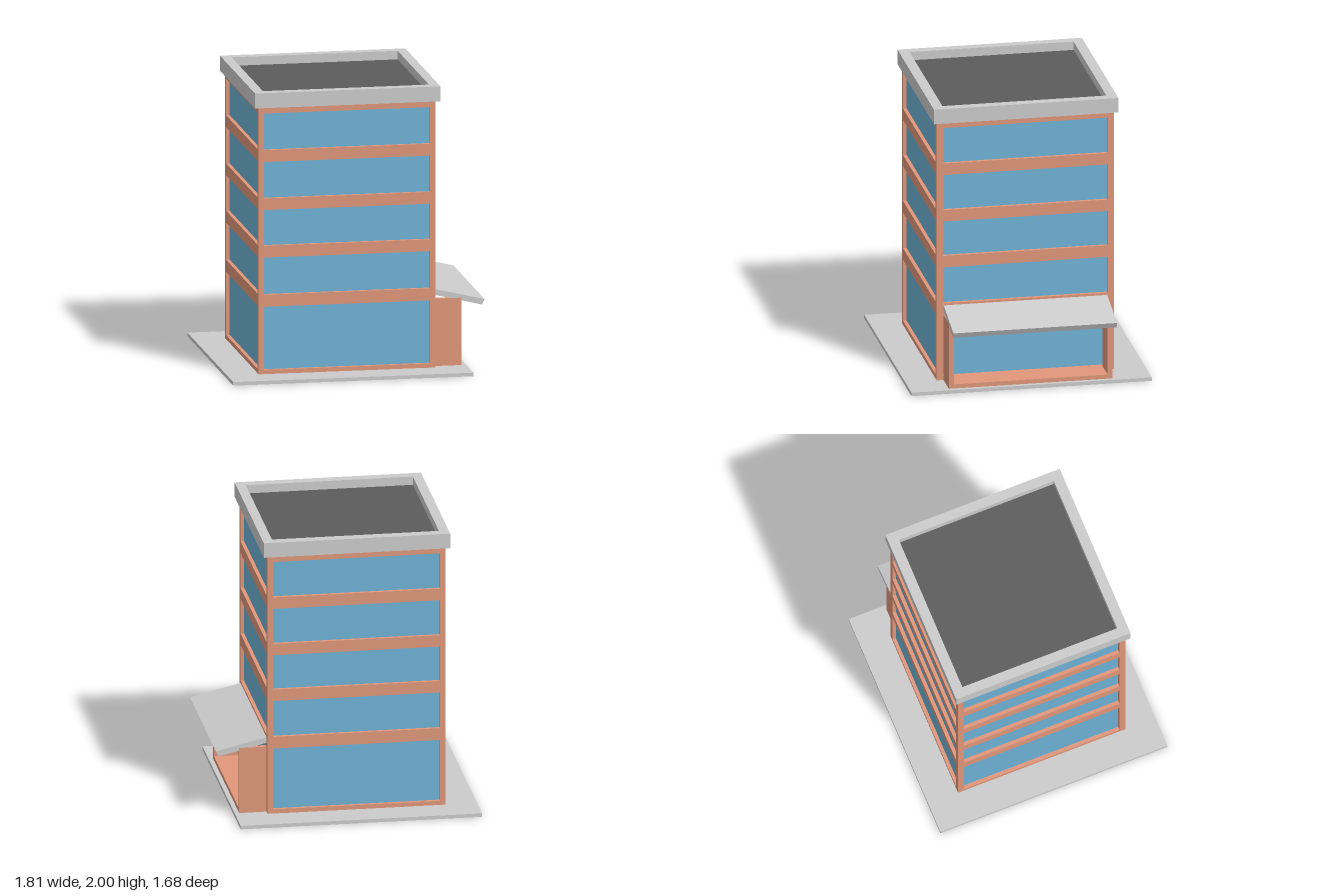
import * as THREE from 'three';

const brick = new THREE.MeshStandardMaterial({ color: 0xe0977a });
const glass = new THREE.MeshStandardMaterial({ color: 0x6eb2d6 });
const dark = new THREE.MeshStandardMaterial({ color: 0x5c5c5c });
const grey = new THREE.MeshStandardMaterial({ color: 0xcccccc });

// Tower outline and the thickness of its facade frames
const X0 = -0.685, X1 = 0.55, Z = 0.62, FRAME = 0.025;
const TOP = 1.895;
const CX = (X0 + X1) / 2;
// Bottom and top of each row of windows
const rows = [[0.055, 0.497], [0.582, 0.842], [0.925, 1.175], [1.257, 1.512], [1.595, 1.852]];

function add(group, name, geometry, material) {
  const mesh = new THREE.Mesh(geometry, material);
  mesh.name = name;
  group.add(mesh);
  return mesh;
}

// Box given by its extents
function block(group, name, material, x0, x1, y0, y1, z0, z1) {
  const mesh = add(group, name, new THREE.BoxGeometry(x1 - x0, y1 - y0, z1 - z0), material);
  mesh.position.set((x0 + x1) / 2, (y0 + y1) / 2, (z0 + z1) / 2);
  return mesh;
}

function rect(x0, x1, y0, y1) {
  return new THREE.Shape([[x0, y0], [x1, y0], [x1, y1], [x0, y1]].map(p => new THREE.Vector2(...p)));
}

const extrude = (shape, depth) => new THREE.ExtrudeGeometry(shape, { depth, bevelEnabled: false });

// Upright facade with a hole for each window
function facade(halfWidth, halfWindow) {
  const shape = rect(-halfWidth, halfWidth, 0, TOP);
  for (const [y0, y1] of rows) shape.holes.push(rect(-halfWindow, halfWindow, y0, y1));
  return extrude(shape, FRAME);
}

// Flat rectangular ring lying in the xz plane
function ring(outer, inner, height) {
  const shape = rect(...outer);
  shape.holes.push(rect(...inner));
  return extrude(shape, height).rotateX(-Math.PI / 2);
}

export function createModel() {
  const model = new THREE.Group();
  model.name = 'officeBuilding';

  // Pavement around the tower
  add(model, 'pavement', ring([-0.905, 0.772, -0.84, 0.84], [X0, X1, -Z, Z], 0.025), grey);

  // Glazed core on a brick floor
  block(model, 'groundFloor', brick, X0 + FRAME, X1 - FRAME, 0, 0.045, -Z + FRAME, Z - FRAME);
  block(model, 'glazing', glass, X0 + FRAME, X1 - FRAME, 0.045, TOP, -Z + FRAME, Z - FRAME);

  // Front and back frames cover the corners, side frames fit between them
  const wide = facade((X1 - X0) / 2, 0.58);
  const narrow = facade(Z - FRAME, 0.575);
  add(model, 'frontFacade', wide, brick).position.set(CX, 0, Z - FRAME);
  const back = add(model, 'backFacade', wide, brick);
  back.position.set(CX, 0, -Z + FRAME);
  back.rotation.y = Math.PI;
  const left = add(model, 'leftFacade', narrow, brick);
  left.position.set(X1 - FRAME, 0, 0);
  left.rotation.y = Math.PI / 2;
  const right = add(model, 'rightFacade', narrow, brick);
  right.position.set(X0 + FRAME, 0, 0);
  right.rotation.y = -Math.PI / 2;

  // Parapet with a sunken roof deck
  const parapet = ring([-0.715, 0.58, -0.645, 0.645], [-0.647, 0.513, -0.573, 0.573], 2 - TOP);
  add(model, 'parapet', parapet, grey).position.y = TOP;
  block(model, 'roofDeck', dark, -0.647, 0.513, TOP, 1.94, -0.573, 0.573);

  // Open porch: floor and two side walls
  const porch = new THREE.Group();
  porch.name = 'porch';
  model.add(porch);
  block(porch, 'porchFloor', brick, X1, 0.74, 0.02, 0.055, -0.54, 0.54);
  for (const s of [-1, 1]) {
    block(porch, 'porchWall', brick, X1, 0.74, 0.02, 0.497, s * 0.555 - 0.0175, s * 0.555 + 0.0175);
  }

  // Sloping canopy
  const profile = new THREE.Shape([[X1, 0.525], [0.883, 0.443], [0.902, 0.481], [X1, 0.566]]
    .map(p => new THREE.Vector2(...p)));
  add(porch, 'canopy', extrude(profile, 1.144), grey).position.z = -0.572;

  return model;
}
